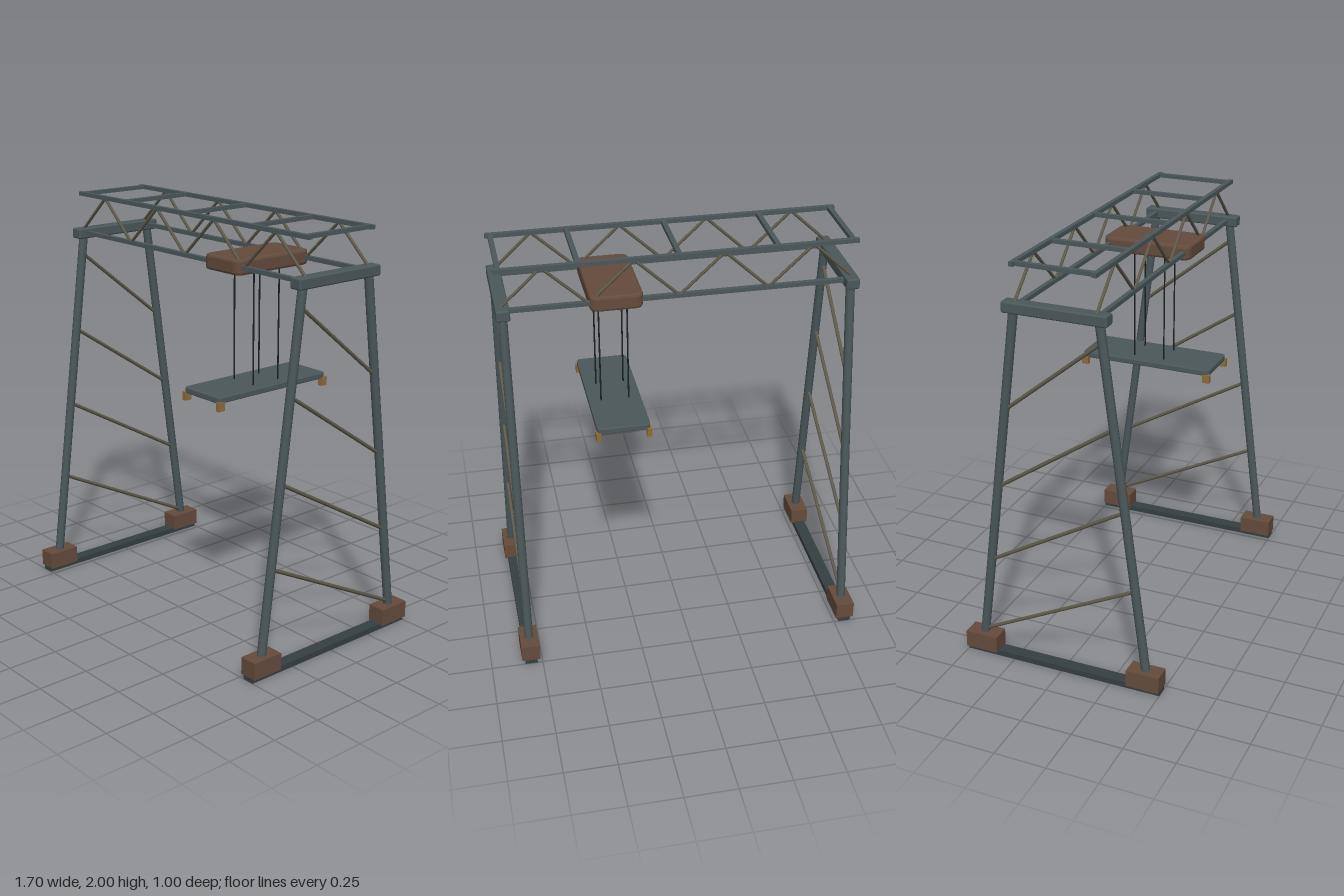
import * as THREE from 'three';
import { RoundedBoxGeometry } from 'three/addons/geometries/RoundedBoxGeometry.js';

const material = (name, color) => {
  const m = new THREE.MeshStandardMaterial({ color });
  m.name = name;
  return m;
};

export function createModel() {
  const steel = material('slate steel', 0x4c585b);
  const sillSteel = material('dark steel', 0x353f42);
  const brace = material('olive brace', 0x5f5a4a);
  const brown = material('rust brown', 0x654c3d);
  const black = material('cable black', 0x1b2021);
  const gold = material('ochre', 0x8f6d3a);

  const model = new THREE.Group();
  model.name = 'gantryCrane';

  const add = (parent, name, geometry, mat, x = 0, y = 0, z = 0) => {
    const mesh = new THREE.Mesh(geometry, mat);
    mesh.name = name;
    mesh.position.set(x, y, z);
    parent.add(mesh);
    return mesh;
  };
  const box = (parent, name, mat, size, pos) =>
    add(parent, name, new THREE.BoxGeometry(...size), mat, ...pos);

  // Round bar between two points
  const rod = (parent, name, mat, a, b, radius, sides = 8) => {
    const from = new THREE.Vector3(...a), to = new THREE.Vector3(...b);
    const dir = to.clone().sub(from);
    const mesh = add(parent, name, new THREE.CylinderGeometry(radius, radius, dir.length(), sides), mat);
    mesh.position.copy(from).add(to).multiplyScalar(0.5);
    mesh.quaternion.setFromUnitVectors(new THREE.Vector3(0, 1, 0), dir.normalize());
    return mesh;
  };

  // Flat slab with rounded corners in plan and bevelled rims
  const slab = (w, h, d, corner, bevel) => {
    const x = w / 2 - bevel, y = d / 2 - bevel, r = corner;
    const s = new THREE.Shape();
    s.moveTo(-x + r, -y);
    s.lineTo(x - r, -y);
    s.quadraticCurveTo(x, -y, x, -y + r);
    s.lineTo(x, y - r);
    s.quadraticCurveTo(x, y, x - r, y);
    s.lineTo(-x + r, y);
    s.quadraticCurveTo(-x, y, -x, y - r);
    s.lineTo(-x, -y + r);
    s.quadraticCurveTo(-x, -y, -x + r, -y);
    const g = new THREE.ExtrudeGeometry(s, {
      depth: h - 2 * bevel, bevelSize: bevel, bevelThickness: bevel, bevelSegments: 2, curveSegments: 5,
    });
    return g.translate(0, 0, bevel - h / 2).rotateX(-Math.PI / 2);
  };

  // End frames: sill, wheel housings, sloping legs, parallel braces, head beam
  const legZ = (y) => 0.433 - 0.129 * y;
  for (const side of [-1, 1]) {
    const x = side * 0.805;
    const frame = new THREE.Group();
    frame.name = side > 0 ? 'leftFrame' : 'rightFrame';
    model.add(frame);
    box(frame, 'sill', sillSteel, [0.06, 0.028, 1], [x, 0.014, 0]);
    for (const end of [-1, 1]) {
      box(frame, 'wheelHousing', brown, [0.09, 0.083, 0.163], [x, 0.0635, end * 0.42]);
      rod(frame, 'leg', steel, [x, 0.06, end * legZ(0.06)], [x, 1.79, end * legZ(1.79)], 0.0215, 10);
    }
    for (let i = 0; i < 4; i++) {
      const top = 1.69 - i * 0.393, low = top - 0.393;
      rod(frame, 'brace', brace, [x, top, legZ(top)], [x, low, -legZ(low)], 0.009);
    }
    add(frame, 'headBeam', new RoundedBoxGeometry(0.064, 0.052, 0.5, 2, 0.008), steel, x, 1.793, 0);
  }

  // Bridge: chords, zigzag webs and cross ties
  const bridge = new THREE.Group();
  bridge.name = 'bridge';
  model.add(bridge);
  const chordZ = 0.193, bay = 0.21;
  for (const z of [-chordZ, chordZ]) {
    box(bridge, 'upperChord', steel, [1.67, 0.02, 0.022], [0, 1.99, z]);
    box(bridge, 'lowerChord', steel, [1.67, 0.02, 0.022], [0, 1.795, z]);
    for (let i = 0; i < 8; i++) {
      const x = (i - 4) * bay;
      const ends = i % 2 ? [1.988, 1.795] : [1.795, 1.988];
      rod(bridge, 'web', brace, [x * 0.99, ends[0], z], [(x + bay) * 0.99, ends[1], z], 0.0075);
    }
  }
  for (const x of [-0.81, -0.458, 0, 0.458, 0.81])
    box(bridge, 'crossTie', steel, [0.023, 0.019, 2 * chordZ], [x, 1.99, 0]);

  // Trolley with hoist cables and lifting spreader
  const hoist = new THREE.Group();
  hoist.name = 'hoist';
  hoist.position.x = 0.291;
  model.add(hoist);
  add(hoist, 'trolley', slab(0.246, 0.073, 0.45, 0.03, 0.012), brown, 0, 1.795, 0);
  add(hoist, 'spreader', slab(0.252, 0.03, 0.68, 0.02, 0.005), steel, 0, 1.2, 0);
  for (const sx of [-1, 1]) {
    for (const sz of [-1, 1]) {
      rod(hoist, 'cable', black, [sx * 0.067, 1.2, sz * 0.079], [sx * 0.067, 1.78, sz * 0.079], 0.0038);
      box(hoist, 'twistLock', gold, [0.022, 0.042, 0.036], [sx * 0.12, 1.171, sz * 0.327]);
    }
  }
  return model;
}
